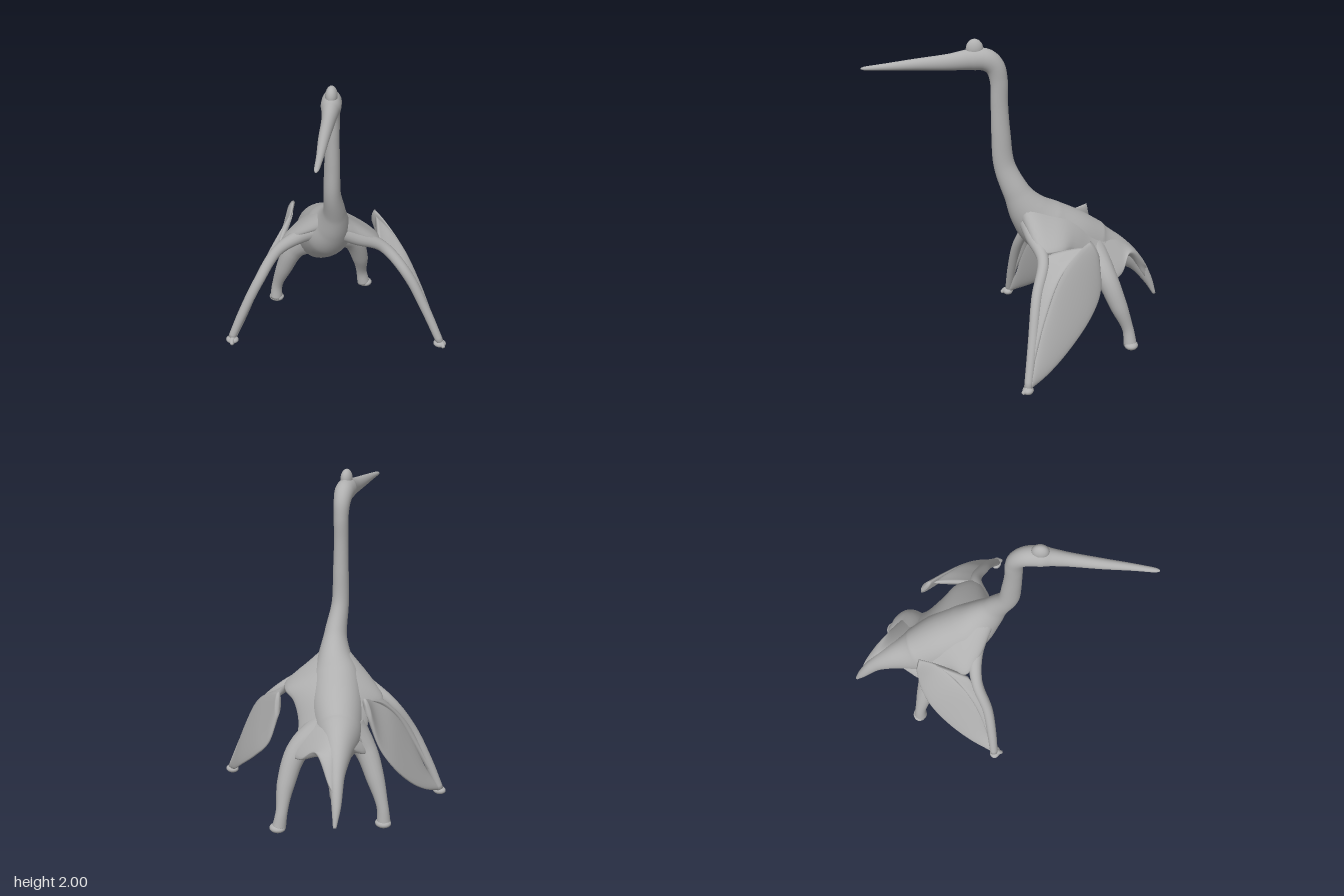
import * as THREE from 'three';

const V = (p) => new THREE.Vector3(p[0], p[1], p[2]);
const hide = new THREE.MeshStandardMaterial({ color: 0xb0b0b0 });
hide.name = 'grey hide';

// Body heading on the ground plane, and the direction to its left
const FORWARD = new THREE.Vector3(0.59, 0, 0.81);
const LEFT = new THREE.Vector3(0.81, 0, -0.59);

// Closed smooth skin over a row of equal rings, with winding made outward
function skin(name, rings) {
  const n = rings[0].length, pos = [], idx = [];
  rings.forEach((r) => r.forEach((p) => pos.push(p.x, p.y, p.z)));
  for (let i = 0; i < rings.length - 1; i++) {
    for (let j = 0; j < n; j++) {
      const a = i * n + j, b = i * n + ((j + 1) % n);
      idx.push(a, b, a + n, b, b + n, a + n);
    }
  }
  [0, rings.length - 1].forEach((i) => {
    const c = new THREE.Vector3(), k = pos.length / 3;
    rings[i].forEach((p) => c.addScaledVector(p, 1 / n));
    pos.push(c.x, c.y, c.z);
    for (let j = 0; j < n; j++) {
      const a = i * n + j, b = i * n + ((j + 1) % n);
      if (i === 0) idx.push(k, b, a);
      else idx.push(k, a, b);
    }
  });
  const at = (i) => new THREE.Vector3().fromArray(pos, i * 3);
  const mid = at(pos.length / 3 - 1);
  let volume = 0;
  for (let i = 0; i < idx.length; i += 3) {
    const [a, b, c] = [0, 1, 2].map((k) => at(idx[i + k]).sub(mid));
    volume += a.dot(b.cross(c));
  }
  if (volume < 0) idx.reverse();
  const geo = new THREE.BufferGeometry();
  geo.setAttribute('position', new THREE.Float32BufferAttribute(pos, 3));
  geo.setIndex(idx);
  geo.computeVertexNormals();
  const mesh = new THREE.Mesh(geo, hide);
  mesh.name = name;
  return mesh;
}

// Elliptical loft: each station is x, y, z, half width, half height
function loft(name, stations, side, steps = 48, sides = 24) {
  const path = new THREE.CatmullRomCurve3(stations.map(V));
  const size = new THREE.CatmullRomCurve3(stations.map((s) => new THREE.Vector3(s[3], s[4] ?? s[3], 0)));
  const rings = [];
  for (let i = 0; i <= steps; i++) {
    const t = i / steps, c = path.getPoint(t), r = size.getPoint(t), tan = path.getTangent(t);
    const u = side.clone().addScaledVector(tan, -side.dot(tan)).normalize();
    const v = new THREE.Vector3().crossVectors(tan, u);
    rings.push(Array.from({ length: sides }, (_, j) => {
      const a = (j / sides) * Math.PI * 2;
      return c.clone().addScaledVector(u, Math.cos(a) * r.x).addScaledVector(v, Math.sin(a) * r.y);
    }));
  }
  return skin(name, rings);
}

// Thin lens-shaped membrane stretched between two edges
function membrane(name, edgeA, edgeB, thick, steps = 28, sides = 20) {
  const ca = new THREE.CatmullRomCurve3(edgeA.map(V)), cb = new THREE.CatmullRomCurve3(edgeB.map(V));
  const rings = [];
  for (let i = 0; i <= steps; i++) {
    const t = i / steps, a = ca.getPoint(t), b = cb.getPoint(t);
    const tan = ca.getTangent(t).add(cb.getTangent(t));
    const n = b.clone().sub(a).cross(tan).normalize();
    rings.push(Array.from({ length: sides }, (_, j) => {
      const q = (j / sides) * Math.PI * 2;
      return a.clone().lerp(b, (1 - Math.cos(q)) / 2).addScaledVector(n, thick * Math.sin(q));
    }));
  }
  return skin(name, rings);
}

function blob(name, center, radii, yaw = 0) {
  const mesh = new THREE.Mesh(new THREE.SphereGeometry(1, 20, 14), hide);
  mesh.name = name;
  mesh.position.set(...center);
  mesh.scale.set(...radii);
  mesh.rotation.y = yaw;
  return mesh;
}

// Limb and wing points for each side
const SIDES = {
  left: {
    arm: [[-0.02, 0.86, -0.1, 0.06], [0.08, 0.78, -0.19, 0.048], [0.2, 0.69, -0.31, 0.036],
      [0.365, 0.52, -0.34, 0.033], [0.49, 0.28, -0.37, 0.03], [0.6, 0.04, -0.39, 0.025]],
    forearm: [[0.17, 0.71, -0.31], [0.26, 0.63, -0.335], [0.36, 0.52, -0.345], [0.49, 0.28, -0.37], [0.59, 0.05, -0.39]],
    forearmRim: [[0.03, 0.75, -0.52], [0.15, 0.71, -0.485], [0.28, 0.62, -0.45], [0.43, 0.4, -0.42], [0.59, 0.07, -0.4]],
    wingTop: [[0.005, 0.785, -0.54], [0.1, 0.75, -0.505], [0.27, 0.63, -0.45],
      [0.42, 0.42, -0.42], [0.52, 0.22, -0.4], [0.6, 0.06, -0.39]],
    wingLow: [[-0.03, 0.66, -0.585], [0.02, 0.47, -0.62], [0.14, 0.35, -0.61],
      [0.35, 0.19, -0.54], [0.5, 0.08, -0.46], [0.59, 0.03, -0.4]],
    rim: [[0.05, 0.87, -0.1], [0.18, 0.73, -0.3], [0.1, 0.72, -0.39],
      [0, 0.69, -0.42], [-0.1, 0.59, -0.48], [-0.15, 0.5, -0.56]],
    tailRim: [[-0.13, 0.54, -0.53], [-0.18, 0.46, -0.62], [-0.28, 0.47, -0.65], [-0.4, 0.55, -0.65], [-0.57, 0.38, -0.705]],
    leg: [[-0.28, 0.6, -0.41, 0.12], [-0.185, 0.48, -0.57, 0.07], [-0.175, 0.29, -0.67, 0.055],
      [-0.195, 0.13, -0.73, 0.036], [-0.19, 0.03, -0.75, 0.042]],
    foot: [-0.185, 0.028, -0.758], hand: [0.6, 0.025, -0.39],
    finger: [[0.59, 0.04, -0.4, 0.02], [0.62, 0.03, -0.385, 0.018], [0.64, 0.015, -0.37, 0.01]],
  },
  right: {
    arm: [[-0.07, 0.86, -0.08, 0.06], [-0.24, 0.77, -0.05, 0.048], [-0.38, 0.65, 0.035, 0.036],
      [-0.455, 0.45, 0.155, 0.033], [-0.53, 0.23, 0.23, 0.03], [-0.59, 0.04, 0.28, 0.025]],
    forearm: [[-0.39, 0.68, -0.02], [-0.42, 0.57, 0.07], [-0.46, 0.45, 0.145], [-0.53, 0.23, 0.22], [-0.585, 0.05, 0.27]],
    forearmRim: [[-0.45, 0.77, -0.26], [-0.445, 0.71, -0.12], [-0.46, 0.6, 0], [-0.5, 0.35, 0.14], [-0.58, 0.06, 0.265]],
    wingTop: [[-0.48, 0.815, -0.32], [-0.44, 0.76, -0.21], [-0.45, 0.64, -0.04],
      [-0.47, 0.46, 0.1], [-0.53, 0.2, 0.2], [-0.57, 0.06, 0.27]],
    wingLow: [[-0.525, 0.71, -0.32], [-0.565, 0.5, -0.27], [-0.6, 0.35, -0.18],
      [-0.615, 0.2, -0.03], [-0.61, 0.1, 0.12], [-0.59, 0.03, 0.27]],
    rim: [[-0.07, 0.89, -0.02], [-0.29, 0.76, -0.01], [-0.39, 0.69, -0.04],
      [-0.4, 0.67, -0.15], [-0.44, 0.6, -0.24], [-0.48, 0.5, -0.31]],
    tailRim: [[-0.45, 0.55, -0.27], [-0.5, 0.47, -0.32], [-0.505, 0.5, -0.4], [-0.51, 0.56, -0.5], [-0.59, 0.37, -0.67]],
    leg: [[-0.36, 0.58, -0.32, 0.12], [-0.455, 0.47, -0.28, 0.07], [-0.535, 0.3, -0.275, 0.055],
      [-0.6, 0.13, -0.28, 0.036], [-0.61, 0.03, -0.28, 0.042]],
    foot: [-0.61, 0.028, -0.285], hand: [-0.585, 0.025, 0.285],
    finger: [[-0.58, 0.04, 0.28, 0.02], [-0.575, 0.03, 0.305, 0.018], [-0.56, 0.015, 0.325, 0.01]],
  },
};

// Ridge of the back, where the membranes of both sides meet
const BACK = [[-0.02, 1.01, -0.075], [-0.13, 0.95, -0.165], [-0.21, 0.89, -0.255],
  [-0.28, 0.825, -0.345], [-0.34, 0.755, -0.42], [-0.4, 0.68, -0.49]];
const TAIL = [[-0.3, 0.79, -0.37], [-0.37, 0.71, -0.46], [-0.45, 0.63, -0.55], [-0.53, 0.52, -0.635], [-0.61, 0.32, -0.705]];

export function createModel() {
  const model = new THREE.Group();
  model.name = 'flyingReptile';

  // Tail, trunk, neck, head and beak as one loft
  model.add(loft('bodyNeckAndHead', [
    [-0.642, 0.19, -0.748, 0.01], [-0.615, 0.3, -0.705, 0.028, 0.03], [-0.55, 0.44, -0.63, 0.045, 0.055],
    [-0.46, 0.53, -0.525, 0.085, 0.105], [-0.355, 0.58, -0.405, 0.14, 0.175], [-0.235, 0.685, -0.285, 0.16, 0.18],
    [-0.12, 0.795, -0.165, 0.15, 0.165], [-0.045, 0.9, -0.1, 0.105, 0.125], [0, 1.02, -0.045, 0.07, 0.085],
    [0.027, 1.2, 0.028, 0.053, 0.066], [0.038, 1.4, 0.045, 0.048, 0.059], [0.043, 1.6, 0.053, 0.044, 0.053],
    [0.045, 1.74, 0.055, 0.045, 0.054], [0.056, 1.825, 0.075, 0.051, 0.06], [0.08, 1.869, 0.118, 0.058, 0.067],
    [0.113, 1.877, 0.18, 0.06, 0.068], [0.14, 1.87, 0.235, 0.05, 0.06], [0.18, 1.858, 0.32, 0.04, 0.05],
    [0.26, 1.843, 0.5, 0.031, 0.035], [0.335, 1.828, 0.66, 0.021, 0.022], [0.385, 1.818, 0.775, 0.014, 0.012],
    [0.394, 1.817, 0.797, 0.005],
  ], LEFT, 190, 32));
  model.add(blob('crest', [0.115, 1.94, 0.18], [0.036, 0.06, 0.052], 0.45));

  // Wings, legs and membranes on both sides
  for (const [side, p] of Object.entries(SIDES)) {
    const half = new THREE.Group();
    half.name = side + 'Limbs';
    half.add(loft('arm', p.arm, FORWARD, 40, 18));
    half.add(membrane('forearmMembrane', p.forearm, p.forearmRim, 0.015));
    half.add(membrane('foldedWing', p.wingTop, p.wingLow, 0.018));
    half.add(membrane('bodyMembrane', BACK, p.rim, 0.03));
    half.add(membrane('tailMembrane', TAIL, p.tailRim, 0.025));
    half.add(loft('hindLeg', p.leg, FORWARD, 32, 18));
    half.add(blob('hindFoot', p.foot, [0.05, 0.028, 0.044], 0.3));
    half.add(blob('hand', p.hand, [0.042, 0.025, 0.034], 0.3));
    half.add(loft('finger', p.finger, LEFT, 10, 10));
    model.add(half);
  }
  return model;
}
